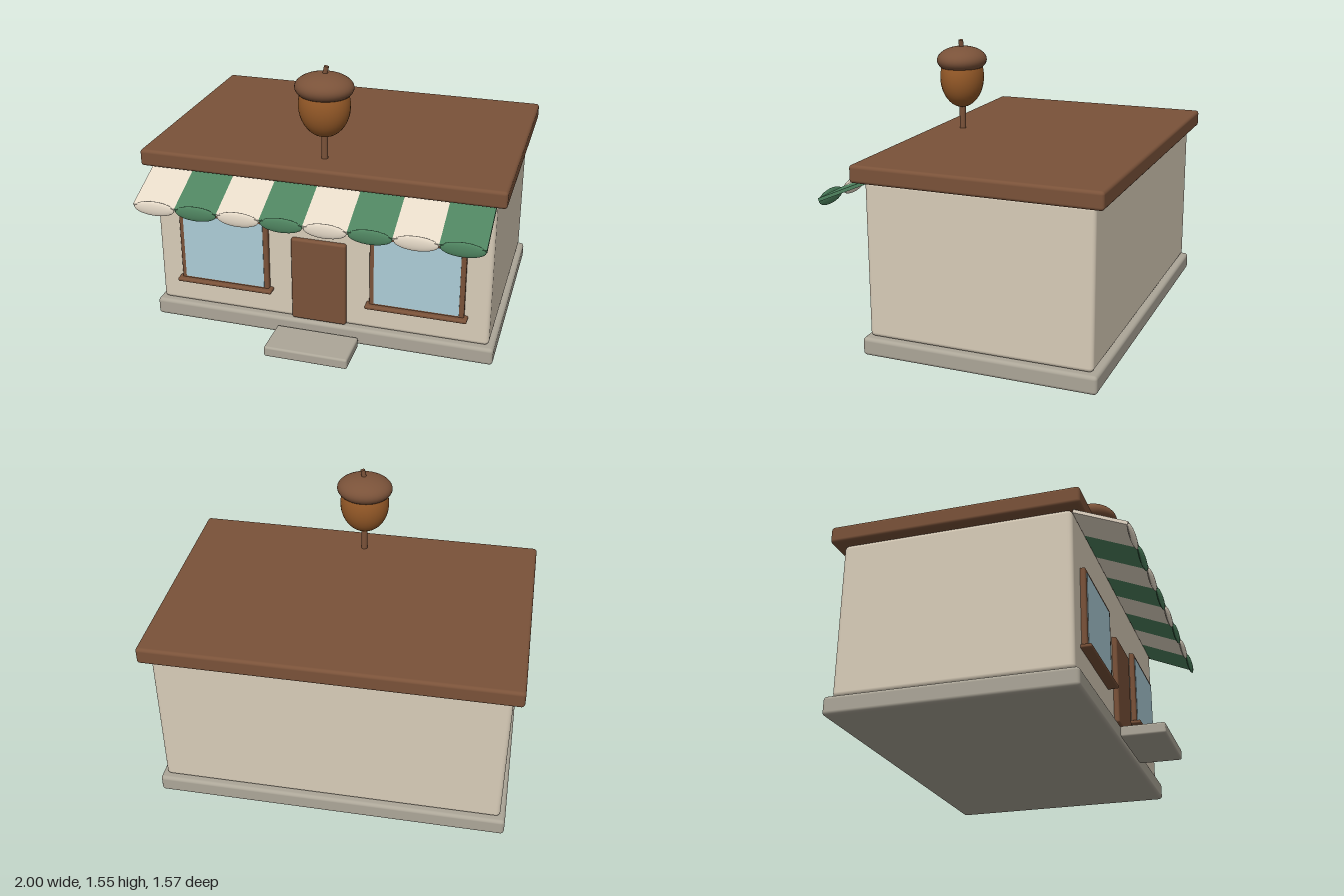
import * as THREE from 'three';
import { RoundedBoxGeometry } from 'three/addons/geometries/RoundedBoxGeometry.js';

const paint = (name, color) => {
  const m = new THREE.MeshStandardMaterial({ color });
  m.name = name;
  return m;
};

export function createModel() {
  const shop = new THREE.Group();
  shop.name = 'shop';

  const wall = paint('warm plaster', 0xd8ccb8);
  const stone = paint('grey stone', 0xaca698);
  const wood = paint('brown wood', 0x7a5239);
  const green = paint('awning green', 0x4f8460);
  const cream = paint('awning cream', 0xe6dac8);
  const glass = paint('window glass', 0xaccdd7);
  const nut = paint('acorn brown', 0x965a28);

  const add = (name, geometry, material, parent = shop) => {
    const mesh = new THREE.Mesh(geometry, material);
    mesh.name = name;
    parent.add(mesh);
    return mesh;
  };

  // Rounded box given by its limits on each axis
  const block = (name, [x0, x1], [y0, y1], [z0, z1], radius, material, parent) => {
    const geo = new RoundedBoxGeometry(x1 - x0, y1 - y0, z1 - z0, 3, radius);
    geo.translate((x0 + x1) / 2, (y0 + y1) / 2, (z0 + z1) / 2);
    return add(name, geo, material, parent);
  };

  // Building
  block('foundation', [-0.975, 0.975], [0, 0.1], [-0.76, 0.53], 0.02, stone);
  block('walls', [-0.945, 0.945], [0.1, 0.95], [-0.73, 0.5], 0.025, wall);
  block('roof', [-1, 1], [0.945, 1.04], [-0.785, 0.555], 0.018, wood);
  block('frontStep', [-0.235, 0.235], [0, 0.06], [0.545, 0.78], 0.012, stone);
  block('door', [-0.155, 0.155], [0.11, 0.605], [0.47, 0.527], 0.012, wood);

  // Windows with frame, pane and sill
  for (const side of [-1, 1]) {
    const win = new THREE.Group();
    win.name = side < 0 ? 'rightWindow' : 'leftWindow';
    win.position.x = side * 0.548;
    shop.add(win);
    block('frame', [-0.26, 0.26], [0.255, 0.692], [0.48, 0.527], 0.01, wood, win);
    block('sill', [-0.28, 0.28], [0.25, 0.272], [0.48, 0.555], 0.009, wood, win);
    const pane = add('pane', new THREE.BoxGeometry(0.468, 0.39, 0.006), glass, win);
    pane.position.set(0, 0.475, 0.527);
  }

  // Striped sloping awning with a rounded scallop under each stripe
  const awning = new THREE.Group();
  awning.name = 'awning';
  shop.add(awning);
  const stripes = 8, stripeWidth = 1.886 / stripes;
  const back = [0.505, 0.935], front = [0.775, 0.818];
  const run = front[0] - back[0], drop = back[1] - front[1];
  for (let i = 0; i < stripes; i++) {
    const color = i % 2 ? green : cream;
    const x = (i - (stripes - 1) / 2) * stripeWidth;
    const stripe = add('stripe', new THREE.BoxGeometry(stripeWidth, 0.018, Math.hypot(run, drop)), color, awning);
    stripe.position.set(x, (back[1] + front[1]) / 2, (back[0] + front[0]) / 2);
    stripe.rotation.x = Math.atan2(drop, run);
    const scallop = add('scallop', new THREE.SphereGeometry(1, 24, 14), color, awning);
    scallop.scale.set(0.115, 0.041, 0.013);
    scallop.position.set(x, 0.81, 0.773);
  }

  // Acorn ornament on a post
  const acorn = new THREE.Group();
  acorn.name = 'acornOrnament';
  acorn.position.z = 0.382;
  shop.add(acorn);
  const post = add('post', new THREE.CylinderGeometry(0.018, 0.018, 0.2, 16), wood, acorn);
  post.position.y = 1.1;
  const body = add('acornBody', new THREE.SphereGeometry(1, 32, 24), nut, acorn);
  body.scale.set(0.14, 0.175, 0.122);
  body.position.y = 1.34;

  // Cap: the upper part of a flattened ball, closed underneath
  const cut = Math.PI * 0.7;
  const profile = [new THREE.Vector2(0, Math.cos(cut))];
  for (let i = 0; i <= 18; i++) {
    const a = cut * (1 - i / 18);
    profile.push(new THREE.Vector2(i === 18 ? 0 : Math.sin(a), Math.cos(a)));
  }
  const cap = add('acornCap', new THREE.LatheGeometry(profile, 32), wood, acorn);
  cap.scale.set(0.158, 0.077, 0.139);
  cap.position.y = 1.438;
  const stem = add('acornStem', new THREE.CylinderGeometry(0.013, 0.015, 0.07, 12), wood, acorn);
  stem.position.set(0.006, 1.517, 0);
  stem.rotation.z = -0.2;

  return shop;
}
